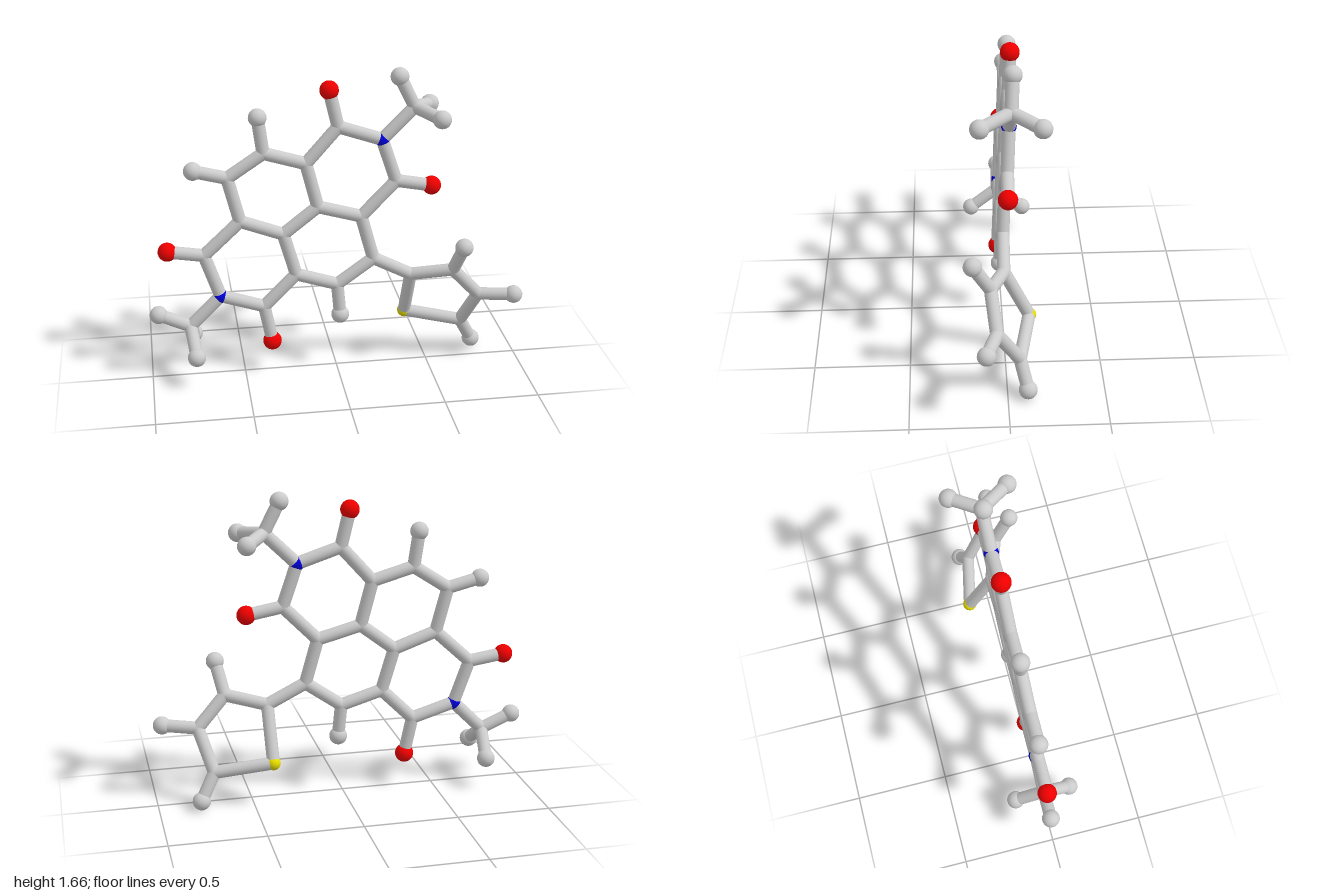
import * as THREE from 'three';

const BOND_R = 0.034;
const material = (color) => new THREE.MeshStandardMaterial({ color });
const MATS = {
  C: material(0xcccccc), H: material(0xcccccc),
  O: material(0xee0000), N: material(0x0000dd), S: material(0xe6dc00),
};
const RADII = { C: BOND_R, H: 0.048, O: 0.05, N: 0.039, S: 0.038 };
const NAMES = { C: 'carbonJoint', H: 'hydrogenBall', O: 'oxygenBall', N: 'nitrogenJoint', S: 'sulfurJoint' };

// The fused ring system lies in one slightly tilted plane
const plateZ = (x, y) => 0.024 + 0.018 * x - 0.043 * y;

// Atoms: [x, y, z]; z is taken from the plate when omitted. First letter = element.
const ATOMS = {
  // upper imide ring
  Ca: [0.015, 1.36], Oa: [-0.03, 1.555], N1: [0.245, 1.283], Cb: [0.32, 1.055], Ob: [0.51, 1.02],
  // central fused rings
  Cc: [0.135, 0.866], Cd: [-0.095, 0.93], Ce: [-0.155, 1.17],
  Cf: [-0.375, 1.235], Hf: [-0.4, 1.425], Cg: [-0.565, 1.11], Hg: [-0.74, 1.155],
  Ch: [-0.505, 0.87], Ci: [-0.28, 0.787], Cj: [-0.215, 0.556],
  Ck: [0.005, 0.487], Hk: [0.02, 0.31], Cl: [0.2, 0.625],
  // lower imide ring
  Cm: [-0.7, 0.69], Om: [-0.89, 0.72], N2: [-0.62, 0.455], Cn: [-0.39, 0.382], On: [-0.35, 0.178],
  // methyl groups
  Ct: [0.415, 1.45], Ht1: [0.335, 1.612], Ht2: [0.525, 1.425, 0.127], Ht3: [0.525, 1.42, -0.175],
  Cu: [-0.785, 0.29], Hu1: [-0.952, 0.365], Hu2: [-0.765, 0.178, 0.15], Hu3: [-0.765, 0.172, -0.154],
  // twisted five-sided ring
  Cp: [0.405, 0.52, 0.005], S1: [0.4, 0.24, -0.128], Cq: [0.62, 0.565, 0.08], Hq: [0.655, 0.728, 0.17],
  Cr: [0.77, 0.4, 0.055], Hr: [0.953, 0.41, 0.112], Cs: [0.705, 0.19, -0.065], Hs: [0.78, 0.05, -0.103],
};

// Each chain is a run of atoms joined one after the other
const CHAINS = [
  'Ca N1 Cb Cc Cd Ce Ca', 'Ca Oa', 'Cb Ob',
  'Ce Cf Cg Ch Ci Cd', 'Cf Hf', 'Cg Hg',
  'Ci Cj Ck Cl Cc', 'Ck Hk',
  'Ch Cm N2 Cn Cj', 'Cm Om', 'Cn On',
  'N1 Ct Ht1', 'Ht2 Ct Ht3', 'N2 Cu Hu1', 'Hu2 Cu Hu3',
  'Cl Cp Cq Cr Cs S1 Cp', 'Cq Hq', 'Cr Hr', 'Cs Hs',
];

export function createModel() {
  const model = new THREE.Group();
  model.name = 'molecule';
  const atoms = new THREE.Group();
  atoms.name = 'atoms';
  const bonds = new THREE.Group();
  bonds.name = 'bonds';
  model.add(atoms, bonds);

  // Atom spheres
  const points = {};
  for (const [key, [x, y, z = plateZ(x, y)]] of Object.entries(ATOMS)) {
    const element = key[0];
    points[key] = new THREE.Vector3(x, y, z);
    const ball = new THREE.Mesh(new THREE.SphereGeometry(RADII[element], 24, 16), MATS[element]);
    ball.name = NAMES[element];
    ball.position.copy(points[key]);
    atoms.add(ball);
  }

  // Bond rods between neighbouring atoms
  const up = new THREE.Vector3(0, 1, 0);
  for (const chain of CHAINS) {
    const keys = chain.split(' ');
    for (let i = 1; i < keys.length; i++) {
      const a = points[keys[i - 1]], b = points[keys[i]];
      const dir = b.clone().sub(a);
      const rod = new THREE.Mesh(
        new THREE.CylinderGeometry(BOND_R, BOND_R, dir.length(), 20, 1, true), MATS.C);
      rod.name = 'bond';
      rod.position.copy(a).add(b).multiplyScalar(0.5);
      rod.quaternion.setFromUnitVectors(up, dir.normalize());
      bonds.add(rod);
    }
  }
  return model;
}
